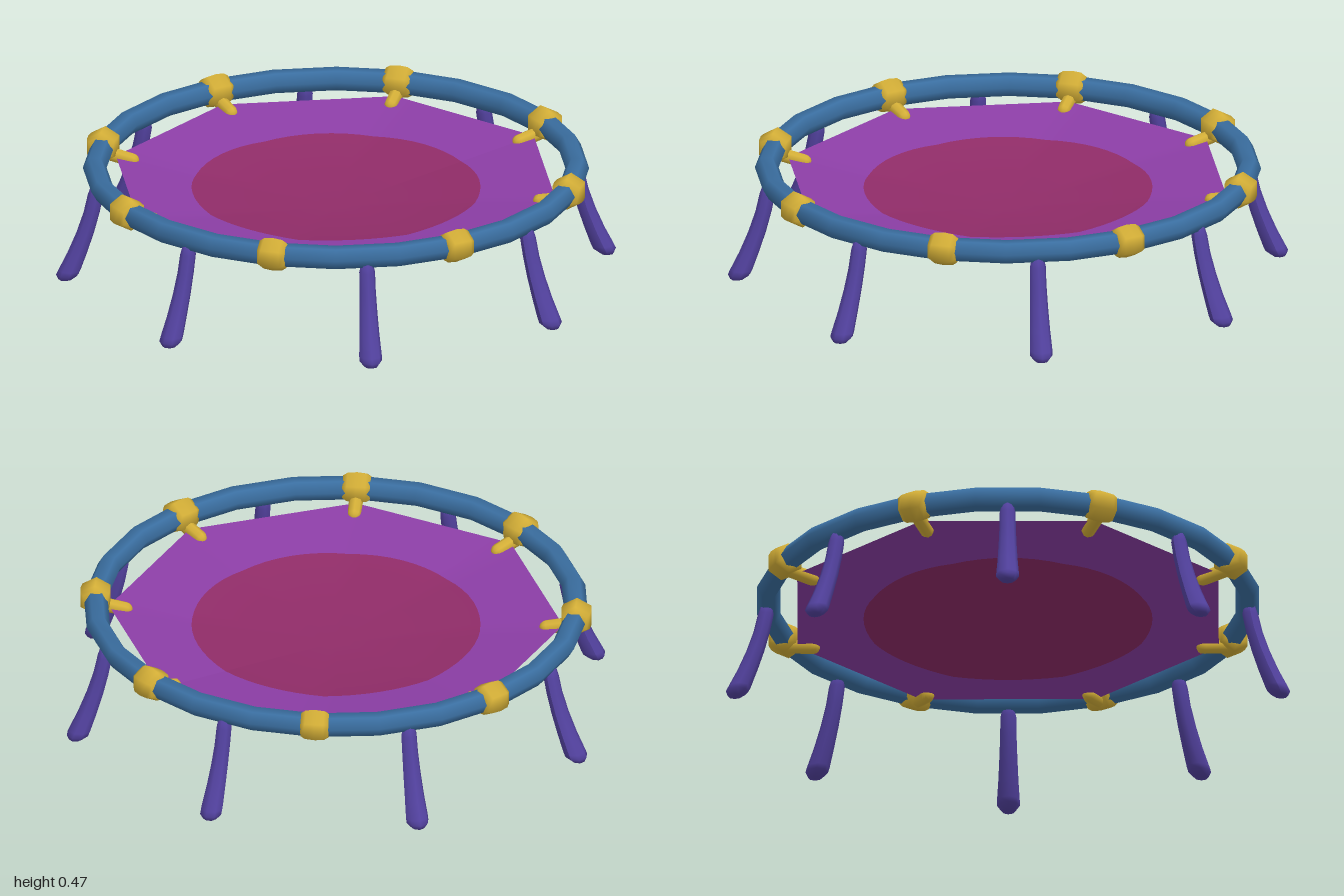
import * as THREE from 'three';

const STEP = Math.PI / 4;
const MAT_RADIUS = 0.86, MAT_EDGE_Y = 0.36, MAT_LOW_Y = 0.245, SPOT_RADIUS = 0.545;

function material(name, color, side = THREE.FrontSide) {
  const m = new THREE.MeshStandardMaterial({ color, side });
  m.name = name;
  return m;
}

function part(name, geometry, mat) {
  const mesh = new THREE.Mesh(geometry, mat);
  mesh.name = name;
  return mesh;
}

// Distance from the centre to the octagon's edge at an angle
function octagonRadius(angle) {
  const a = ((angle % STEP) + STEP) % STEP - STEP / 2;
  return MAT_RADIUS * Math.cos(STEP / 2) / Math.cos(a);
}

// Lays a flat unit shape on the sagging octagonal cloth; its rim (radius 1) goes to the octagon's edge
function drape(geometry) {
  geometry.rotateX(-Math.PI / 2);
  const p = geometry.attributes.position;
  for (let i = 0; i < p.count; i++) {
    const angle = Math.atan2(p.getZ(i), p.getX(i));
    const edge = octagonRadius(angle);
    let r = Math.hypot(p.getX(i), p.getZ(i));
    if (r > 0.99) r = edge;
    const y = MAT_LOW_Y + (MAT_EDGE_Y - MAT_LOW_Y) * r / edge;
    p.setXYZ(i, r * Math.cos(angle), y, r * Math.sin(angle));
  }
  geometry.computeVertexNormals();
  return geometry;
}

// Leg flares outward along +x towards the floor
function legGeometry() {
  const profile = [[0, 0], [0.026, 0.003], [0.043, 0.022], [0.043, 0.04], [0.038, 0.11],
    [0.034, 0.19], [0.031, 0.27], [0.03, 0.34], [0.022, 0.375], [0, 0.38]];
  const geometry = new THREE.LatheGeometry(profile.map(([r, y]) => new THREE.Vector2(r, y)), 8);
  const p = geometry.attributes.position;
  for (let i = 0; i < p.count; i++) {
    const drop = 1 - p.getY(i) / 0.38;
    p.setX(i, p.getX(i) + 0.91 + 0.122 * Math.pow(drop, 1.5));
  }
  geometry.computeVertexNormals();
  return geometry;
}

// Six-sided sleeve with rounded ends, its axis along the rim
function clampGeometry() {
  const profile = [[0.03, -0.054], [0.05, -0.052], [0.062, -0.035], [0.066, 0],
    [0.062, 0.035], [0.05, 0.052], [0.03, 0.054]];
  return new THREE.LatheGeometry(profile.map(([r, y]) => new THREE.Vector2(r, y)), 6)
    .rotateX(Math.PI / 2)
    .translate(0.91, 0.4, 0);
}

export function createModel() {
  const model = new THREE.Group();
  model.name = 'trampoline';

  const blue = material('frame blue', 0x3a6ea0);
  const gold = material('clamp gold', 0xd4af37);
  const violet = material('leg violet', 0x5342a0);
  const purple = material('mat purple', 0x8c3ea6, THREE.DoubleSide);
  const crimson = material('spot crimson', 0x902c68, THREE.DoubleSide);

  // Round frame
  model.add(part('frame', new THREE.TorusGeometry(0.91, 0.045, 6, 24)
    .rotateX(Math.PI / 2).translate(0, 0.4, 0), blue));

  // Jumping mat and its round centre
  model.add(part('mat', drape(new THREE.RingGeometry(SPOT_RADIUS, 1, 64, 1)), purple));
  model.add(part('centreSpot', drape(new THREE.CircleGeometry(SPOT_RADIUS, 64)), crimson));

  // Clamps with hooks at the mat's corners, legs halfway between them
  const leg = legGeometry();
  const clamp = clampGeometry();
  const hook = new THREE.CapsuleGeometry(0.028, 0.09, 4, 8)
    .scale(1, 1, 0.95)
    .rotateZ(-Math.PI / 2 + 0.2)
    .translate(0.842, 0.358, 0);
  for (let i = 0; i < 8; i++) {
    const fastener = new THREE.Group();
    fastener.name = 'fastener';
    fastener.add(part('clamp', clamp, gold), part('hook', hook, gold));
    fastener.rotation.y = i * STEP;
    model.add(fastener);

    const legMesh = part('leg', leg, violet);
    legMesh.rotation.y = (i + 0.5) * STEP;
    model.add(legMesh);
  }
  return model;
}
